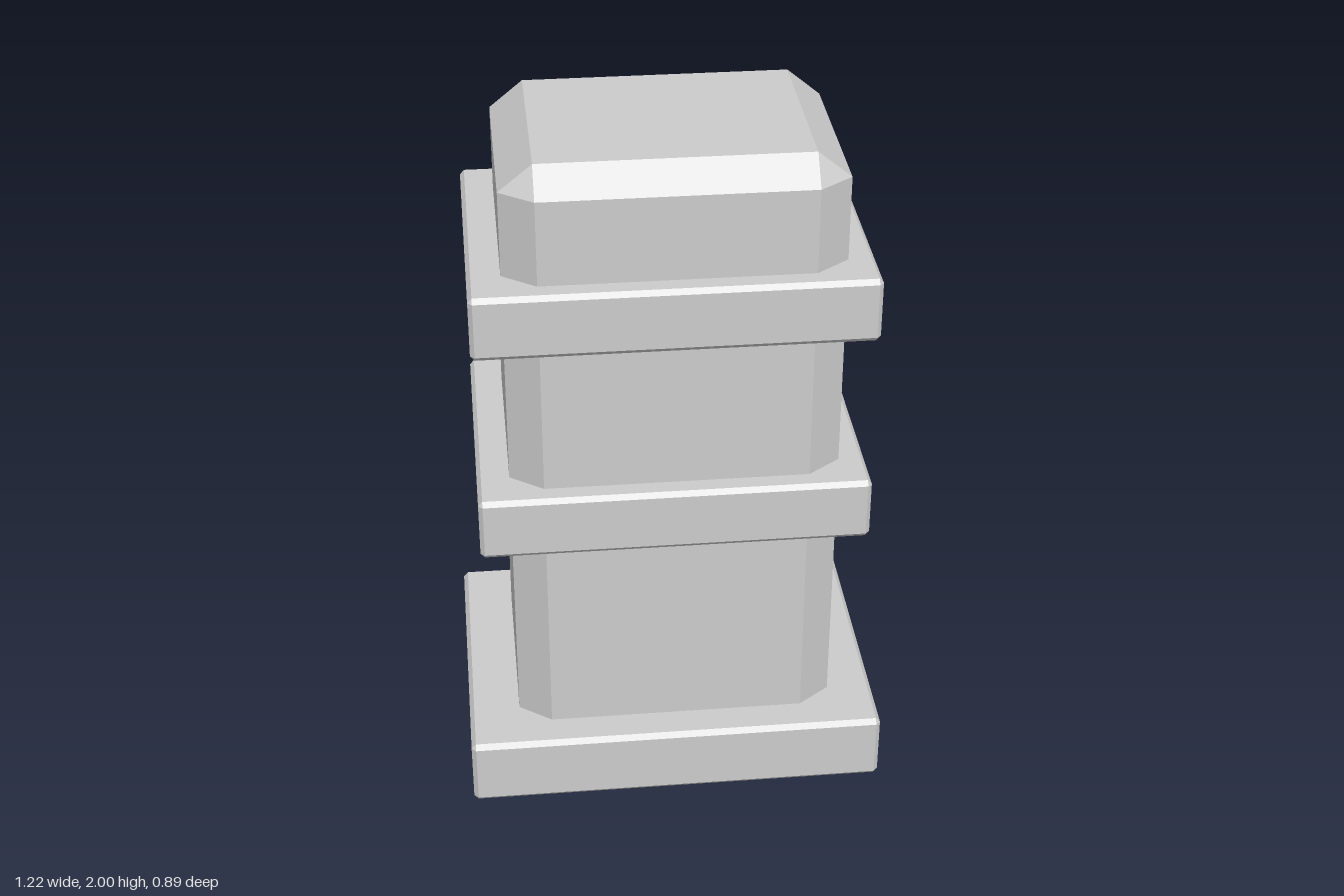
import * as THREE from 'three';
import { ConvexGeometry } from 'three/addons/geometries/ConvexGeometry.js';

const material = new THREE.MeshStandardMaterial({ color: 0xcccccc, flatShading: true });

// Box with every edge and corner cut flat; cut = inset along x, y and z.
function chamferedBox(name, [w, h, d], [cx, cy, cz], [x, bottom, z]) {
  const points = [];
  for (const sx of [-1, 1]) for (const sy of [-1, 1]) for (const sz of [-1, 1]) {
    const corner = (ix, iy, iz) => points.push(
      new THREE.Vector3(sx * (w / 2 - ix), sy * (h / 2 - iy), sz * (d / 2 - iz)));
    corner(0, cy, cz); // on the side face
    corner(cx, 0, cz); // on the top or bottom face
    corner(cx, cy, 0); // on the front or back face
  }
  const mesh = new THREE.Mesh(new ConvexGeometry(points), material);
  mesh.name = name;
  mesh.position.set(x, bottom + h / 2, z);
  return mesh;
}

export function createModel() {
  const group = new THREE.Group();
  group.name = 'bandedPillar';

  // Plinth at the foot
  group.add(chamferedBox('base', [1.22, 0.21, 0.894], [0.013, 0.015, 0.013], [0, 0, -0.002]));

  // Shaft with wide cut corners and a bevelled top
  group.add(chamferedBox('shaft', [0.936, 1.95, 0.685], [0.094, 0.077, 0.069], [0.007, 0.05, -0.002]));

  // Two collars around the shaft
  [['lowerBand', 0.85], ['upperBand', 1.49]].forEach(([name, y]) =>
    group.add(chamferedBox(name, [1.104, 0.188, 0.804], [0.012, 0.014, 0.012], [-0.001, y, -0.002])));

  return group;
}
